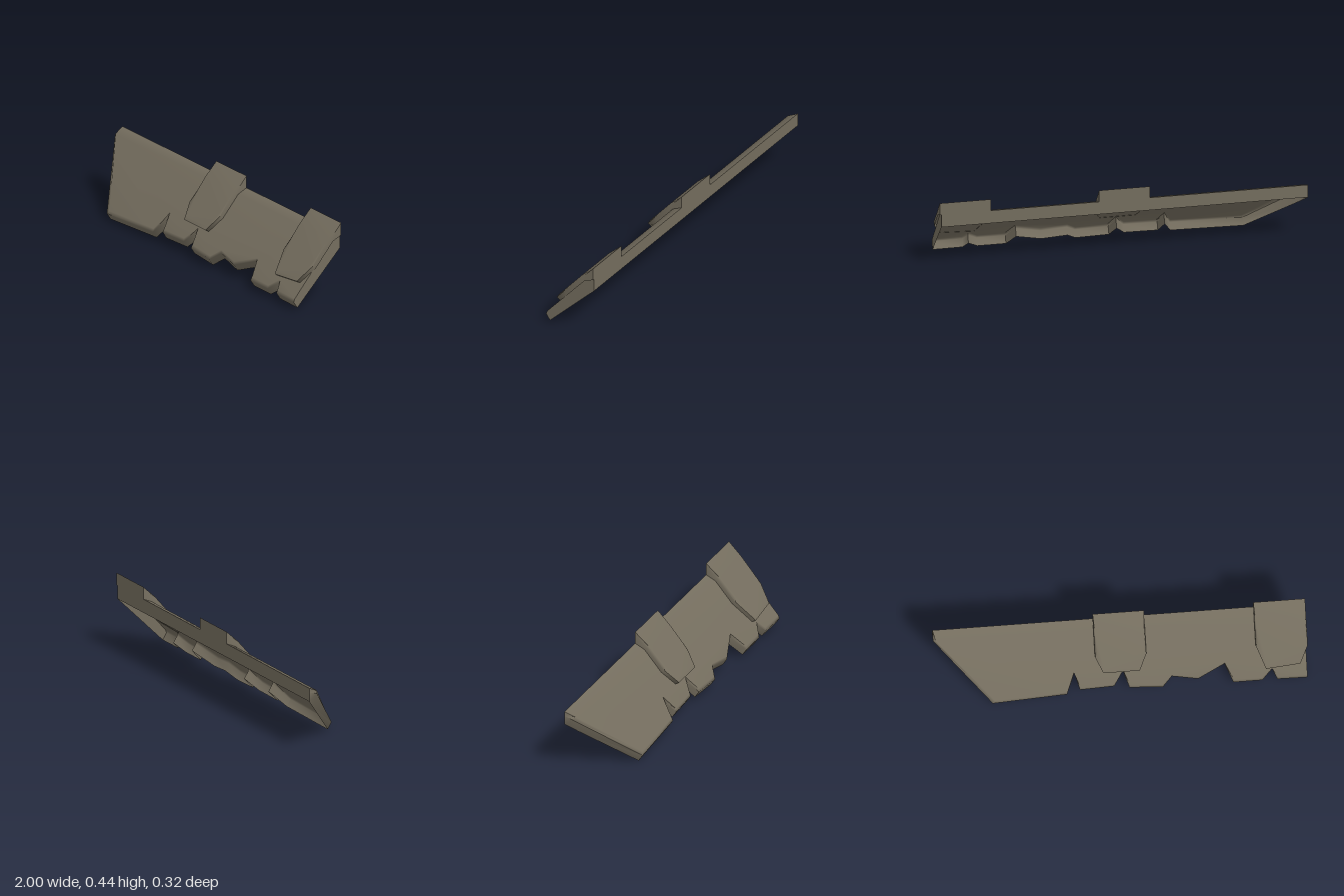
import * as THREE from 'three';

const stone = new THREE.MeshStandardMaterial({ color: 0x746d5e, side: THREE.DoubleSide });
stone.name = 'weathered grey brown';

// Area-weighted smooth normals, kept sharp across edges steeper than the crease angle
function smoothNormals(points, faces, crease) {
  const p = points.map(v => new THREE.Vector3(...v));
  const areas = faces.map(([a, b, c]) => p[b].clone().sub(p[a]).cross(p[c].clone().sub(p[a])));
  const around = p.map(() => []);
  faces.forEach((face, f) => face.forEach(v => around[v].push(f)));
  const positions = [], normals = [];
  faces.forEach((face, f) => {
    for (const v of face) {
      const normal = new THREE.Vector3();
      for (const g of around[v]) {
        if (g === f || areas[f].angleTo(areas[g]) < crease) normal.add(areas[g]);
      }
      positions.push(...points[v]);
      normals.push(...normal.normalize().toArray());
    }
  });
  const geometry = new THREE.BufferGeometry();
  geometry.setAttribute('position', new THREE.Float32BufferAttribute(positions, 3));
  geometry.setAttribute('normal', new THREE.Float32BufferAttribute(normals, 3));
  return geometry;
}

// Hollow shell: joins rings of [x, y, z] points and closes the front, leaving the underside open.
// The first and last points lie on the vertical back plane, the next ones on the bend.
function shell(name, rings) {
  const n = rings[0].length, faces = [];
  for (let r = 0; r < rings.length - 1; r++) {
    for (let i = 0; i < n; i++) {
      const j = (i + 1) % n, a = r * n, b = a + n;
      faces.push([a + i, a + j, b + j], [a + i, b + j, b + i]);
    }
  }
  // Front face and the strip above the bend
  const o = (rings.length - 1) * n;
  const contour = rings[rings.length - 1].slice(1, n - 1).map(p => new THREE.Vector2(p[0], p[1]));
  for (const f of THREE.ShapeUtils.triangulateShape(contour, [])) faces.push(f.map(k => o + k + 1));
  faces.push([o, o + 1, o + n - 2], [o, o + n - 2, o + n - 1]);
  const mesh = new THREE.Mesh(smoothNormals(rings.flat(), faces, 1.2), stone);
  mesh.name = name;
  return mesh;
}

// Small inward shift in x for a point of an outline, from its neighbours
function insetX(pts, i, amount) {
  const a = pts[Math.max(i - 1, 0)], b = pts[Math.min(i + 1, pts.length - 1)];
  const dx = b[0] - a[0], dy = b[1] - a[1];
  return -dy / Math.hypot(dx, dy) * amount;
}

const underZ = y => 0.138 - y;
const slabZ = y => 0.201 - 0.8746 * y;
const strapZ = y => 0.2377 - 0.8605 * y;

// Sloping slab with a chipped lower edge
function makeSlab() {
  const edge = [
    [-0.7, 0.003], [-0.3, 0.018], [-0.255, 0.105], [-0.23, 0.033], [-0.045, 0.038],
    [0.005, 0.1], [0.035, 0.028], [0.215, 0.02], [0.265, 0.062], [0.405, 0.043],
    [0.55, 0.098], [0.592, 0.018], [0.748, 0.018], [0.803, 0.062], [0.828, 0.018], [0.99, 0.016],
  ];
  const under = edge.map(([x, y]) => [x, y, underZ(y)]);
  const rim = edge.map(([x, y]) => [x, y + 0.037, underZ(y) + 0.024]);
  const front = edge.map(([x, y], i) => {
    const inset = i === edge.length - 1 ? 0 : insetX(edge, i, 0.012);
    return [x + (i ? inset : 0.012), y + 0.054, slabZ(y + 0.054)];
  });
  return shell('slab', [
    [[-1, 0.3, -0.16], [-0.945, 0.243, -0.105], ...under, [0.99, 0.243, -0.105], [0.99, 0.298, -0.16]],
    [[-1, 0.35, -0.16], [-1, 0.337, -0.112], ...rim, [0.99, 0.335, -0.105], [0.99, 0.36, -0.16]],
    [[-1, 0.375, -0.16], [-0.985, 0.35, -0.105], ...front, [0.99, 0.35, -0.105], [0.99, 0.375, -0.16]],
  ]);
}

// Raised strap folded over the upper edge, with a tapered foot
function makeStrap(name, foot) {
  const left = foot[0][0], right = foot[foot.length - 1][0];
  const base = foot.map(([x, y]) => [x, y, slabZ(y) - 0.002]);
  const rim = foot.map(([x, y]) => [x, y + 0.014, slabZ(y) + 0.021]);
  const front = foot.map(([x, y], i) => [x + insetX(foot, i, 0.013), y + 0.033, strapZ(y + 0.033)]);
  const ring = (pts, bendY, bendZ, topY, inset) => [
    [left, topY, -0.16], [left + inset, bendY, bendZ], ...pts,
    [right - inset, bendY, bendZ], [right, topY, -0.16],
  ];
  return shell(name, [
    ring(base, 0.348, -0.105, 0.373, 0),
    ring(rim, 0.364, -0.09, 0.43, 0),
    ring(front, 0.375, -0.085, 0.443, 0.006),
  ]);
}

export function createModel() {
  const group = new THREE.Group();
  group.name = 'chippedSlab';
  group.add(
    makeSlab(),
    makeStrap('middleStrap', [[-0.14, 0.235], [-0.1, 0.16], [0.095, 0.16], [0.135, 0.235]]),
    makeStrap('endStrap', [[0.722, 0.235], [0.77, 0.125], [0.955, 0.138], [1, 0.22]]),
  );
  return group;
}
